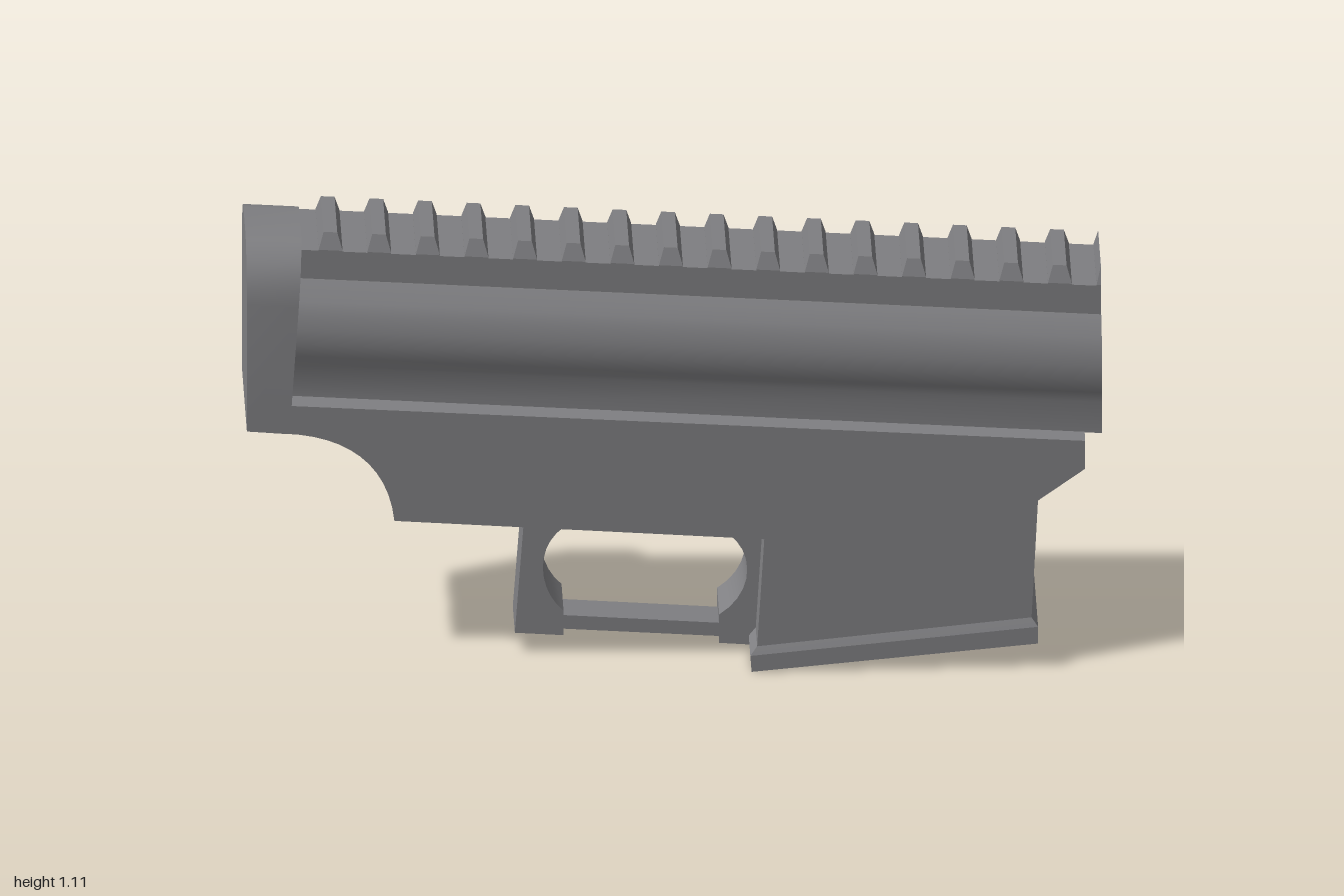
import * as THREE from 'three';
import { toCreasedNormals } from 'three/addons/utils/BufferGeometryUtils.js';

const SLOPE = 0.0645; // the whole upper half tilts down toward +x

export function createModel() {
  const group = new THREE.Group();
  const gray = new THREE.MeshStandardMaterial({ color: 0x808083 });
  gray.name = 'gunmetalGray';

  const add = (name, geo, crease = 0.5) => {
    const mesh = new THREE.Mesh(toCreasedNormals(geo, crease), gray);
    mesh.name = name;
    group.add(mesh);
    return mesh;
  };
  // Move each vertex by a rule
  const warp = (geo, rule) => {
    const p = geo.attributes.position, v = new THREE.Vector3();
    for (let i = 0; i < p.count; i++) {
      rule(v.fromBufferAttribute(p, i));
      p.setXYZ(i, v.x, v.y, v.z);
    }
    return geo;
  };
  const toShape = (pts) => new THREE.Shape(pts.map(([x, y]) => new THREE.Vector2(x, y)));
  // Side silhouette thickened across z
  const slab = (shape, half) => new THREE.ExtrudeGeometry(shape, {
    depth: half * 2, bevelEnabled: false, curveSegments: 12,
  }).translate(0, 0, -half);
  // Half cross-section (z, y), mirrored and run along x
  const run = (half, x0, x1) => {
    const mirrored = half.map(([z, y]) => [-z, y]).reverse();
    return new THREE.ExtrudeGeometry(toShape([...half, ...mirrored]), {
      depth: x1 - x0, bevelEnabled: false,
    }).rotateY(Math.PI / 2).translate(x0, 0, 0);
  };
  // Block whose layers are [xLeft, yLeft, xRight, yRight, halfWidth], bottom to top
  const stack = (layers) => {
    const pos = [], idx = [];
    for (const [xl, yl, xr, yr, h] of layers) {
      pos.push(xl, yl, h, xr, yr, h, xr, yr, -h, xl, yl, -h);
    }
    for (let k = 0; k < layers.length - 1; k++) {
      for (let j = 0; j < 4; j++) {
        const a = k * 4 + j, b = k * 4 + (j + 1) % 4;
        idx.push(a, b, b + 4, a, b + 4, a + 4);
      }
    }
    const t = (layers.length - 1) * 4;
    idx.push(0, 2, 1, 0, 3, 2, t, t + 1, t + 2, t, t + 2, t + 3);
    const geo = new THREE.BufferGeometry();
    geo.setAttribute('position', new THREE.Float32BufferAttribute(pos, 3));
    geo.setIndex(idx);
    return geo;
  };
  const tilt = (v) => { v.y += SLOPE * (1 - v.x); };

  // Upper housing with bulging sides
  add('upperHousing', warp(run([
    [0.155, 0.59], [0.155, 0.67], [0.168, 0.7], [0.176, 0.735], [0.176, 0.77],
    [0.168, 0.805], [0.155, 0.835], [0.115, 0.877], [0.115, 0.95],
  ], -0.9, 1), tilt));

  // Rail teeth, the last one cut off at the end of the housing
  for (let i = 0; i < 17; i++) {
    const x = -0.802 + i * 0.1137;
    const r = Math.min(x + 0.028, 1), rt = Math.min(x + 0.016, 1);
    const l = x - 0.028, lt = Math.min(x - 0.016, 0.999);
    add('railTooth', warp(stack([
      [l, 0.94, r, 0.94, 0.115],
      [l, 0.952, r, 0.952, 0.115],
      [lt, 0.992, rt, 0.992, 0.1],
    ]), tilt), 0.1);
  }

  // Arched rear cap with a leaning front edge
  add('rearCap', warp(run([
    [0.18, 0.635], [0.18, 0.96], [0.175, 1.0], [0.163, 1.035],
    [0.145, 1.06], [0.122, 1.08], [0.1, 1.092], [0.07, 1.098],
  ], -1, -0.87), (v) => {
    if (v.x > -0.9) {
      v.x -= (1.09 - v.y) * 0.066;
      v.y -= 0.0085;
    }
  }));

  // Lower body with a scooped rear
  const body = toShape([[-0.91, 0.7], [-0.91, 0.628]]);
  body.bezierCurveTo(-0.77, 0.62, -0.67, 0.55, -0.655, 0.4);
  for (const [x, y] of [[0.21, 0.34], [0.193, 0.06], [0.835, 0.13],
    [0.85, 0.43], [0.96, 0.51], [0.96, 0.582]]) body.lineTo(x, y);
  add('lowerBody', slab(body, 0.18));

  // Sloped ledge between the lower body and the housing
  add('ledge', stack([
    [-0.895, 0.7, 0.96, 0.582, 0.18],
    [-0.895, 0.714, 0.96, 0.594, 0.155],
  ]), 0.1);

  // Flared collar at the foot of the lower body
  add('flaredCollar', stack([
    [0.18, 0.004, 0.85, 0.067, 0.19],
    [0.177, 0.045, 0.85, 0.11, 0.19],
    [0.193, 0.065, 0.835, 0.13, 0.18],
  ]), 0.1);

  // Guard loop, open at the bottom
  const guard = toShape([[-0.345, 0.4], [-0.37, 0.06], [-0.256, 0.052], [-0.256, 0.115]]);
  guard.bezierCurveTo(-0.33, 0.18, -0.325, 0.33, -0.2, 0.353);
  guard.lineTo(0.04, 0.338);
  guard.bezierCurveTo(0.19, 0.33, 0.215, 0.17, 0.108, 0.1);
  for (const [x, y] of [[0.108, 0.027], [0.2, 0.02], [0.23, 0.36]]) guard.lineTo(x, y);
  add('guardLoop', slab(guard, 0.075));

  // Thin bar closing the guard
  add('guardBar', slab(toShape([[-0.27, 0.056], [0.12, 0.03], [0.12, 0.064], [-0.27, 0.091]]), 0.045));

  return group;
}
